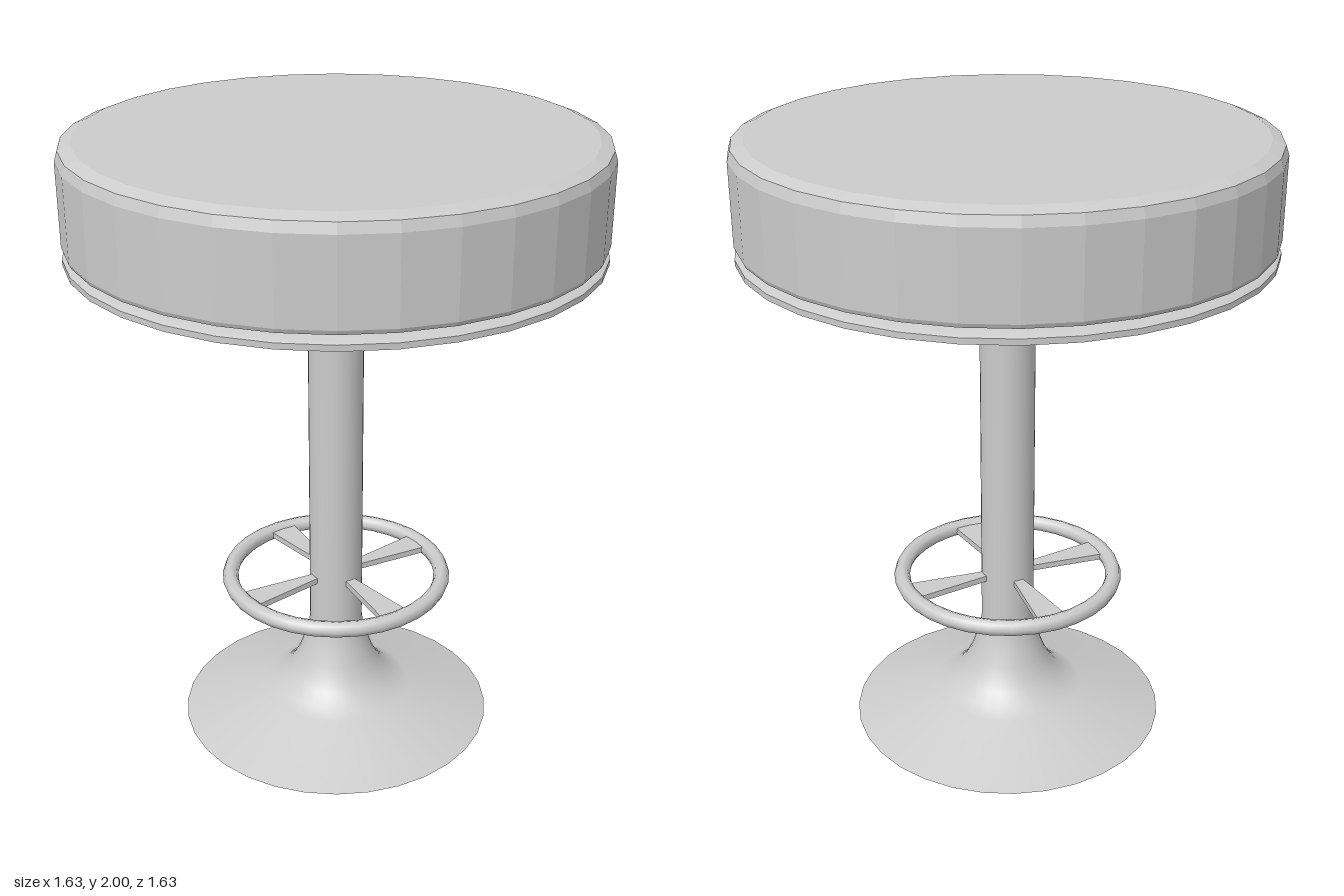
import * as THREE from 'three';
import { toCreasedNormals } from 'three/addons/utils/BufferGeometryUtils.js';

const SIDES = 32;

function lathe(points) {
  return new THREE.LatheGeometry(points.map(([r, y]) => new THREE.Vector2(r, y)), SIDES);
}

export function createModel() {
  const stool = new THREE.Group();
  stool.name = 'barStool';
  const smooth = new THREE.MeshStandardMaterial({ color: 0xcccccc, side: THREE.DoubleSide });
  const flat = new THREE.MeshStandardMaterial({ color: 0xcccccc, flatShading: true });

  function add(name, geometry, material, parent = stool) {
    const mesh = new THREE.Mesh(geometry, material);
    mesh.name = name;
    parent.add(mesh);
    return mesh;
  }

  // Hollow trumpet foot flowing into the post
  add('baseAndPost', lathe([
    [0.515, 0], [0.25, 0.085], [0.205, 0.11], [0.17, 0.14], [0.145, 0.175],
    [0.125, 0.215], [0.105, 0.27], [0.092, 0.315], [0.087, 0.355], [0.087, 1.55],
  ]), smooth);

  // Shallow dish under the cushion, with a flared neck
  add('seatPlate', toCreasedNormals(lathe([
    [0.087, 1.55], [0.092, 1.575], [0.108, 1.592], [0.14, 1.602],
    [0.8, 1.643], [0.813, 1.647], [0.813, 1.665], [0.8, 1.672], [0.7, 1.68], [0, 1.682],
  ]), 0.5), smooth);

  // Cushion with softened rims
  add('cushion', lathe([
    [0, 1.682], [0.79, 1.684], [0.807, 1.69], [0.813, 1.703],
    [0.813, 1.955], [0.803, 1.985], [0.765, 2], [0, 2],
  ]), flat);

  // Foot ring on four spokes that widen toward the ring
  const footrest = new THREE.Group();
  footrest.name = 'footrest';
  footrest.position.y = 0.515;
  stool.add(footrest);

  add('footRing', new THREE.TorusGeometry(0.351, 0.026, 8, SIDES).rotateX(Math.PI / 2), smooth, footrest);

  const outline = new THREE.Shape([
    [0.07, -0.015], [0.345, -0.048], [0.345, 0.048], [0.07, 0.015],
  ].map(([x, y]) => new THREE.Vector2(x, y)));
  const spoke = new THREE.ExtrudeGeometry(outline, { depth: 0.02, bevelEnabled: false });
  spoke.translate(0, 0, -0.01).rotateX(Math.PI / 2);
  for (let i = 0; i < 4; i++) {
    add('spoke' + (i + 1), spoke, flat, footrest).rotation.y = i * Math.PI / 2;
  }

  return stool;
}
